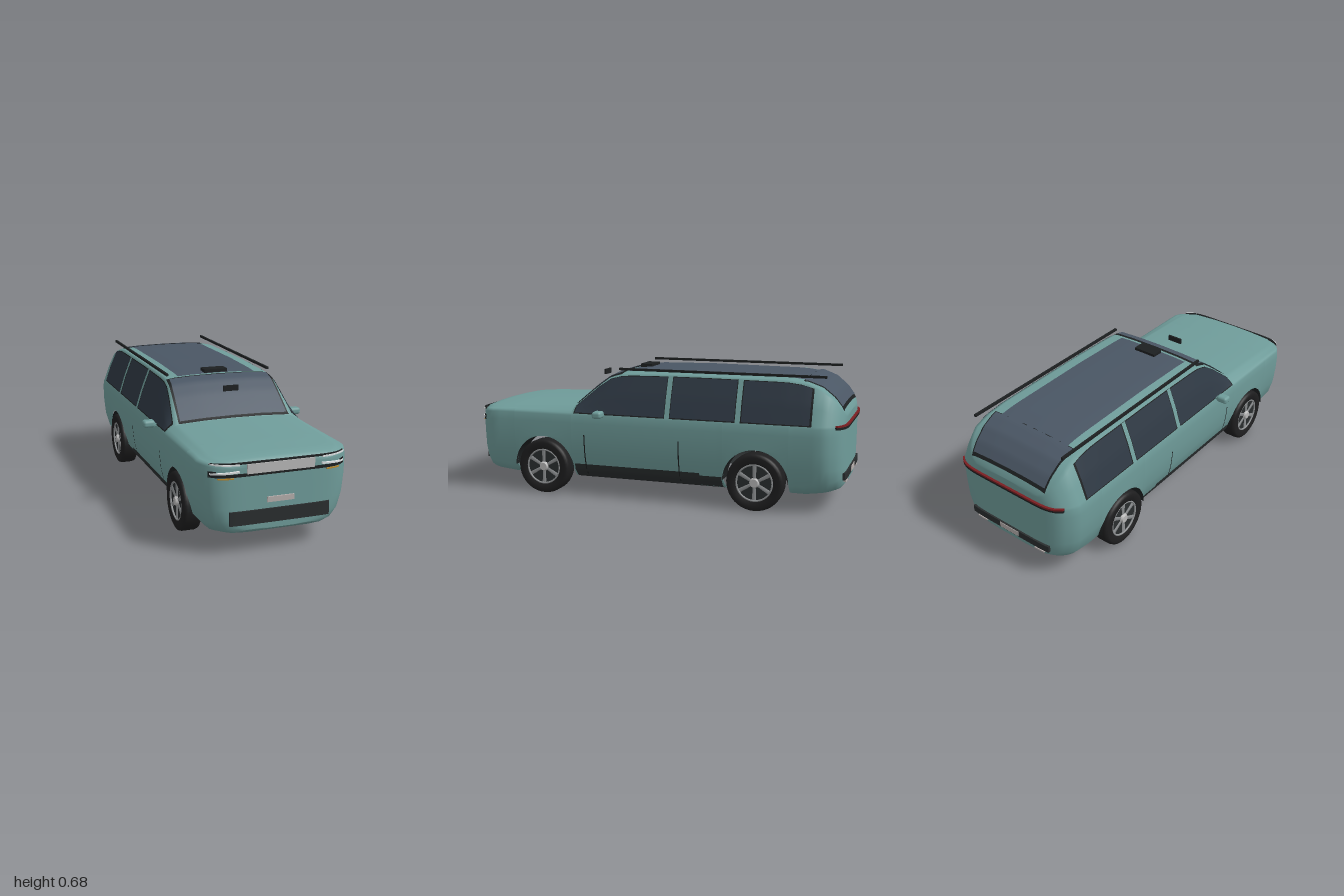
import * as THREE from 'three';
import { mergeVertices } from 'three/addons/utils/BufferGeometryUtils.js';
import { RoundedBoxGeometry } from 'three/addons/geometries/RoundedBoxGeometry.js';

const mat = (color, side = THREE.FrontSide) => new THREE.MeshStandardMaterial({ color, side });
const PAINT = mat(0x6f9c9a), BLACK = mat(0x1d2021), DARK = mat(0x2a2e2f), SILVER = mat(0xb8b8b8);
const GLASS = mat(0x4a5664, THREE.DoubleSide), SIDE_GLASS = mat(0x2e3843, THREE.DoubleSide);
const TRIM = mat(0x1d2021, THREE.DoubleSide);

const END = 0.985, CORNER = 0.1, POWER = 8;
const ARCH_R = 0.165, AXLE_Y = 0.145, AXLES = [0.585, -0.562];

// Side silhouette: [z, y] of the centre line above and below
const TOP = [[-0.985, 0.48], [-0.97, 0.515], [-0.93, 0.567], [-0.87, 0.616], [-0.8, 0.643], [-0.7, 0.655], [-0.2, 0.66],
  [0.1, 0.655], [0.17, 0.65], [0.23, 0.632], [0.3, 0.58], [0.42, 0.478], [0.8, 0.464], [0.93, 0.454], [0.97, 0.444], [0.985, 0.428]];
const BOTTOM = [[-0.985, 0.135], [-0.96, 0.11], [-0.9, 0.093], [-0.8, 0.078], [0.8, 0.078], [0.9, 0.088], [0.96, 0.1], [0.985, 0.118]];

// Linear lookup of column b from column a, in either order
function lookup(pts, v, a = 0, b = 1) {
  for (let i = 0; i < pts.length - 1; i++) {
    const p = pts[i], q = pts[i + 1];
    if ((v - p[a]) * (v - q[a]) <= 0 && p[a] !== q[a]) return p[b] + (q[b] - p[b]) * (v - p[a]) / (q[a] - p[a]);
  }
  const first = pts[0], last = pts[pts.length - 1];
  return Math.abs(v - first[a]) < Math.abs(v - last[a]) ? first[b] : last[b];
}

// Half cross-section from sill to roof centre; w narrows it at the rounded ends
const endWidth = z => Math.min(1, Math.pow(Math.max(0, END - Math.abs(z)) / CORNER, 1 / POWER));
function section(z, w = endWidth(z)) {
  const t = lookup(TOP, z), b = lookup(BOTTOM, z);
  const k = THREE.MathUtils.clamp((t - 0.45) / 0.2, 0, 1);
  const s = Math.min(0.43, t - 0.03), xr = 0.322 - 0.036 * k, yr = t - 0.012;
  return [[0.25, b + 0.004], [0.3, b + 0.02], [0.335, b + 0.06], [0.357, 0.225], [0.366, 0.31], [0.368, s - 0.04],
    [0.365, s], [0.359, s + 0.012], [(0.359 + xr) / 2 + 0.004, (s + 0.012 + yr) / 2], [xr, yr], [xr - 0.02, t - 0.004],
    [0.15, t + 0.003], [0, t + 0.005]].map(([x, y]) => [x * w, y]);
}
const sideX = (z, y) => lookup(section(z), y, 1, 0);
const roofY = (z, x) => lookup(section(z).slice(6), Math.abs(x), 0, 1);

// Grid surface from rows of points
function surface(rows) {
  const n = rows[0].length, index = [];
  for (let i = 0; i < rows.length - 1; i++)
    for (let j = 0; j < n - 1; j++) {
      const a = i * n + j, b = a + 1, c = a + n, d = c + 1;
      index.push(a, b, c, b, d, c);
    }
  let g = new THREE.BufferGeometry();
  g.setAttribute('position', new THREE.Float32BufferAttribute(rows.flat(2), 3));
  g.setIndex(index);
  g = mergeVertices(g, 1e-5);
  g.computeVertexNormals();
  return g;
}

// Lengthwise stations: rounded ends, even spacing between, dense over the arches
function stations() {
  const list = [];
  const add = (z, w, arch = 0) => list.push({ z, w, arch });
  for (const w of [0, 0.3, 0.5, 0.65, 0.75, 0.83, 0.89, 0.94, 0.97])
    for (const s of [-1, 1]) add(s * (END - CORNER * w ** POWER), w);
  for (let z = -0.88; z < 0.89; z += 0.04)
    if (AXLES.every(c => Math.abs(z - c) > ARCH_R + 0.005)) add(z, 1);
  for (const c of AXLES) {
    for (const s of [-1, 1]) add(c + s * (ARCH_R + 0.0005), 1);
    for (let i = 0; i <= 24; i++) {
      const a = Math.PI * i / 24;
      add(c - ARCH_R * Math.cos(a), 1, AXLE_Y + ARCH_R * Math.sin(a));
    }
  }
  return list.sort((p, q) => p.z - q.z || p.w - q.w);
}

export function createModel() {
  const car = new THREE.Group();
  car.name = 'car';
  const add = (name, geometry, material, x = 0, y = 0, z = 0, parent = car) => {
    const m = new THREE.Mesh(geometry, material);
    m.name = name;
    m.position.set(x, y, z);
    parent.add(m);
    return m;
  };
  const box = (name, w, h, d, material, x, y, z) => add(name, new THREE.BoxGeometry(w, h, d), material, x, y, z);

  // Body shell with open wheel arches, and its floor
  const list = stations();
  add('bodyShell', surface(list.map(({ z, w, arch }) => {
    const pts = section(z, w);
    const half = pts.map(([x, y]) => y < arch ? [lookup(pts, arch, 1, 0), arch, z] : [x, y, z]);
    return [...half, ...half.slice(0, -1).reverse().map(([x, y]) => [-x, y, z])];
  })), PAINT);
  add('floor', surface(list.map(({ z, w }) => {
    const y = lookup(BOTTOM, z);
    return [-0.25, -0.18, 0, 0.18, 0.25].map(x => [x * w, y + (Math.abs(x) > 0.2 ? 0.004 : 0), z]);
  })), PAINT);

  // Panels that follow the roof: half-widths xa at za, xb at zb
  const roofPanel = (name, za, zb, xa, xb, lift, material) => {
    const rows = [];
    for (let i = 0; i <= 16; i++) {
      const t = i / 16, z = za + (zb - za) * t, hw = xa + (xb - xa) * t, row = [];
      for (let j = -8; j <= 8; j++) row.push([hw * j / 8, roofY(z, hw * j / 8) + lift, z]);
      rows.push(row);
    }
    add(name, surface(rows), material);
  };
  roofPanel('windscreenFrame', 0.165, 0.425, 0.278, 0.294, 0.004, TRIM);
  roofPanel('windscreen', 0.18, 0.413, 0.266, 0.284, 0.008, GLASS);
  roofPanel('roofGlass', -0.78, 0.15, 0.21, 0.21, 0.004, GLASS);
  roofPanel('rearWindowFrame', -0.972, -0.775, 0.235, 0.255, 0.004, TRIM);
  roofPanel('rearWindow', -0.964, -0.782, 0.228, 0.246, 0.008, GLASS);

  // Panels that follow the flanks
  const sidePanel = (name, za, zb, bottom, top, lift, material) => {
    for (const s of [1, -1]) {
      const rows = [];
      for (let i = 0; i <= 20; i++) {
        const z = za + (zb - za) * i / 20, row = [];
        for (let j = 0; j <= 8; j++) {
          const y = bottom + (top(z) - bottom) * j / 8;
          row.push([s * (sideX(z, y) + lift), y, z]);
        }
        rows.push(row);
      }
      add(name, surface(rows), material);
    }
  };
  const windowTop = z => Math.min(0.643, lookup(TOP, z) - 0.016);
  sidePanel('windowSurround', -0.835, 0.408, 0.44, z => windowTop(z) + 0.003, 0.0015, TRIM);
  sidePanel('frontSideWindow', -0.09, 0.4, 0.446, windowTop, 0.004, SIDE_GLASS);
  sidePanel('middleSideWindow', -0.455, -0.122, 0.446, windowTop, 0.004, SIDE_GLASS);
  sidePanel('rearSideWindow', -0.825, -0.49, 0.446, windowTop, 0.004, SIDE_GLASS);
  for (const z of [-0.106, -0.472]) sidePanel('pillar', z - 0.013, z + 0.013, 0.438, w => windowTop(w) + 0.004, 0.005, mat(0x6f9c9a, THREE.DoubleSide));
  sidePanel('sillFront', -0.275, 0.41, 0.086, () => 0.17, 0.004, mat(0x2a2e2f, THREE.DoubleSide));
  sidePanel('sillRear', -0.39, -0.275, 0.086, () => 0.157, 0.004, mat(0x2a2e2f, THREE.DoubleSide));
  for (const z of [0.345, -0.17]) sidePanel('doorSeam', z - 0.003, z + 0.003, 0.085, () => 0.33, 0.006, TRIM);

  // Bars wrapped around the nose (end = 1) or the tail (end = -1)
  const bar = (name, end, xa, xb, ya, yb, material, lift = 0.002, slant = 0) => {
    const g = new THREE.BoxGeometry(xb - xa, yb - ya, 0.012, 24, 1, 1);
    g.translate((xa + xb) / 2, (ya + yb) / 2, 0);
    const p = g.attributes.position;
    for (let i = 0; i < p.count; i++) {
      const x = Math.abs(p.getX(i));
      p.setY(i, p.getY(i) + slant * (x - Math.min(Math.abs(xa), Math.abs(xb))));
      p.setZ(i, p.getZ(i) + end * (END + lift - CORNER * (x / 0.362) ** POWER));
    }
    g.computeVertexNormals();
    add(name, g, material);
  };
  const pair = (name, end, xa, xb, ...rest) => {
    bar(name, end, xa, xb, ...rest);
    bar(name, end, -xb, -xa, ...rest);
  };
  const LAMP = mat(0xdfe3e4), AMBER = mat(0xb8862b), PLATE = mat(0xb5aeac), RED = mat(0x7a1f22);
  bar('nosePanel', 1, -0.163, 0.163, 0.385, 0.43, SILVER, 0.003);
  bar('upperNoseTrim', 1, -0.325, 0.325, 0.431, 0.438, BLACK, 0);
  bar('lowerNoseTrim', 1, -0.33, 0.33, 0.374, 0.387, BLACK, 0);
  pair('noseTrimEnd', 1, 0.3, 0.33, 0.38, 0.402, BLACK, 0);
  pair('upperHeadlight', 1, 0.2, 0.325, 0.426, 0.433, LAMP, 0.004, 0.04);
  pair('lowerHeadlight', 1, 0.2, 0.325, 0.394, 0.402, LAMP, 0.004, -0.06);
  pair('indicator', 1, 0.225, 0.295, 0.366, 0.371, AMBER);
  bar('frontPlate', 1, -0.065, 0.065, 0.243, 0.268, PLATE);
  bar('lowerGrille', 1, -0.243, 0.243, 0.148, 0.213, DARK);
  bar('tailLight', -1, -0.325, 0.325, 0.437, 0.446, RED, 0.007);
  bar('tailTrim', -1, -0.325, 0.325, 0.425, 0.437, BLACK, 0.005);
  bar('rearBumperStrip', -1, -0.25, 0.25, 0.165, 0.2, DARK, 0.003);
  bar('rearPlate', -1, -0.06, 0.06, 0.17, 0.197, PLATE, 0.006);
  pair('rearReflector', -1, 0.16, 0.22, 0.15, 0.158, PLATE, 0.002);

  // Roof rails, roof sensor and centre mirror
  for (const s of [1, -1]) box('roofRail', 0.012, 0.012, 1.07, BLACK, s * 0.276, 0.672, -0.355);
  box('roofSensor', 0.126, 0.018, 0.064, BLACK, 0, 0.669, 0.11);
  box('centreMirror', 0.08, 0.028, 0.01, BLACK, 0, 0.623, 0.36);

  // Door mirrors
  for (const s of [1, -1]) {
    add('doorMirror', new RoundedBoxGeometry(0.062, 0.037, 0.05, 2, 0.014), PAINT, s * 0.4, 0.447, 0.252);
    box('mirrorArm', 0.03, 0.014, 0.025, PAINT, s * 0.362, 0.44, 0.252);
  }

  // Wheels, built facing +x, with arch liners
  const tyreProfile = [[0.092, -0.042], [0.128, -0.047], [0.141, -0.041], [0.145, -0.028], [0.145, 0.028], [0.141, 0.041],
    [0.128, 0.047], [0.096, 0.044], [0.092, 0.03]].map(p => new THREE.Vector2(...p));
  const tyre = new THREE.LatheGeometry(tyreProfile, 40).rotateZ(-Math.PI / 2);
  const disc = new THREE.CylinderGeometry(0.095, 0.095, 0.066, 32).rotateZ(-Math.PI / 2);
  const lip = new THREE.TorusGeometry(0.091, 0.005, 8, 40).rotateY(Math.PI / 2);
  const hub = new THREE.CylinderGeometry(0.02, 0.026, 0.014, 20).rotateZ(-Math.PI / 2);
  const spoke = new THREE.CylinderGeometry(0.014, 0.01, 0.072, 4).rotateY(Math.PI / 4).scale(0.5, 1, 1).translate(0, 0.054, 0);
  const liner = new THREE.CylinderGeometry(ARCH_R, ARCH_R, 0.11, 32, 1, true, 0, Math.PI).rotateZ(Math.PI / 2);
  const RIM = mat(0x8d9092), TYRE = mat(0x1e1e1f);
  for (const z of AXLES) for (const s of [1, -1]) {
    const wheel = new THREE.Group();
    wheel.name = 'wheel';
    wheel.position.set(s * 0.323, AXLE_Y, z);
    wheel.rotation.y = s > 0 ? 0 : Math.PI;
    car.add(wheel);
    add('tyre', tyre, TYRE, 0, 0, 0, wheel);
    add('rimDisc', disc, DARK, 0, 0, 0, wheel);
    add('rimLip', lip, RIM, 0.039, 0, 0, wheel);
    add('hub', hub, SILVER, 0.041, 0, 0, wheel);
    for (let i = 0; i < 6; i++) add('spoke', spoke, RIM, 0.034, 0, 0, wheel).rotation.x = i * Math.PI / 3;
    add('archLiner', liner, TRIM, s * 0.305, AXLE_Y, z);
  }
  return car;
}
